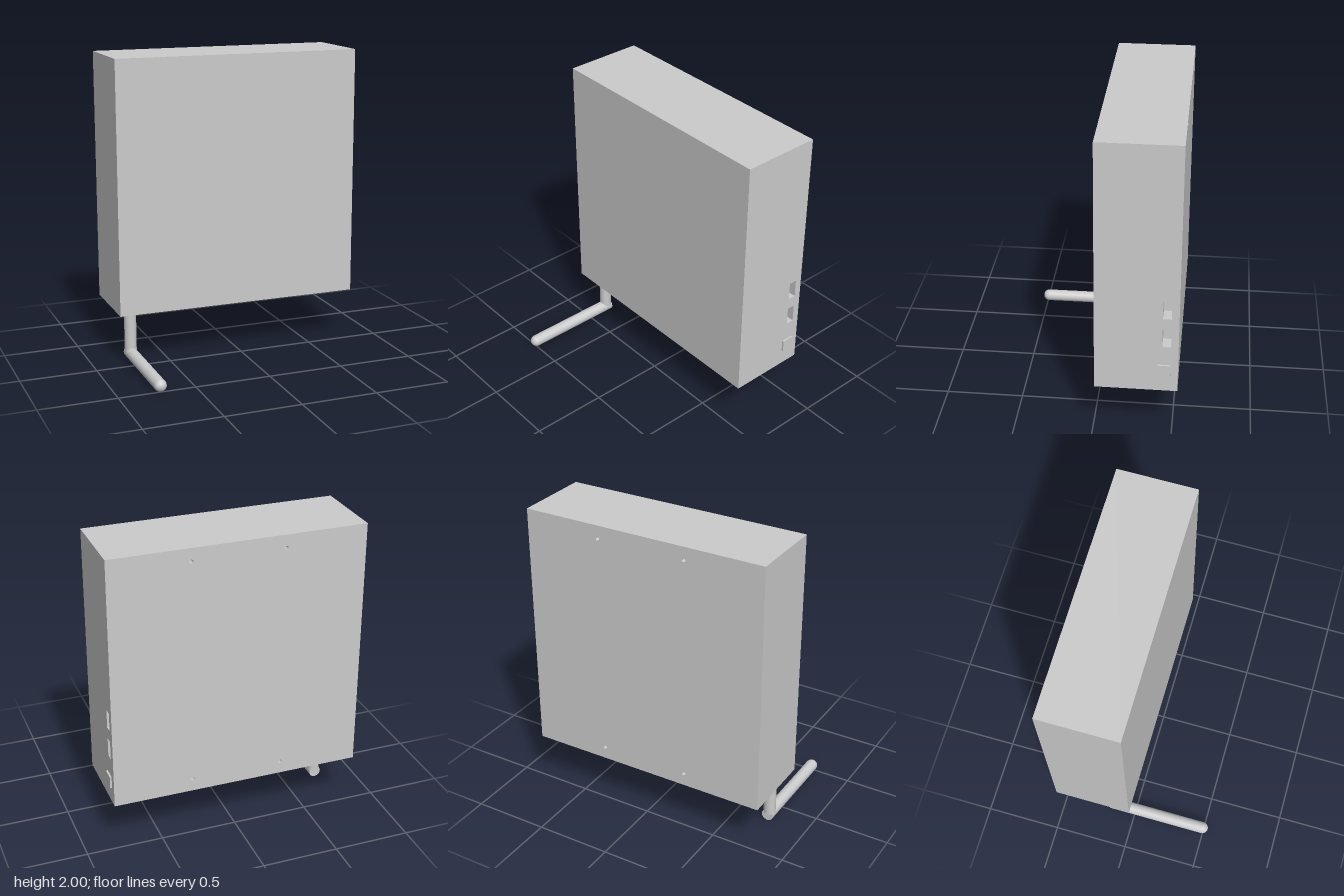
import * as THREE from 'three';
import { mergeGeometries } from 'three/addons/utils/BufferGeometryUtils.js';

const grey = new THREE.MeshStandardMaterial({ color: 0xcccccc });
const X0 = -0.83, X1 = 0.818, Y0 = 0.34, Y1 = 2, Z0 = -0.53, Z1 = -0.012;

function mesh(name, geometry) {
  const m = new THREE.Mesh(geometry, grey);
  m.name = name;
  return m;
}

// Flat rectangle in the XY plane facing +z, with optional cut-outs
function panel(x0, x1, y0, y1, holes = []) {
  const rect = (a, b, c, d) => [[a, c], [b, c], [b, d], [a, d]].map(p => new THREE.Vector2(...p));
  const shape = new THREE.Shape(rect(x0, x1, y0, y1));
  for (const h of holes) {
    const path = new THREE.Path();
    if (h.r) path.absarc(h.x, h.y, h.r, 0, Math.PI * 2);
    else path.setFromPoints(rect(h.x - h.w / 2, h.x + h.w / 2, h.y - h.h / 2, h.y + h.h / 2));
    shape.holes.push(path);
  }
  return new THREE.ShapeGeometry(shape, 8).toNonIndexed();
}

// Inside walls and floor of a cut-out, open towards +z
function pocket({ x, y, w, h, r, depth }) {
  const g = r ? new THREE.CylinderGeometry(r, r, depth, 16).rotateX(Math.PI / 2)
    : new THREE.BoxGeometry(w, h, depth);
  const cap = g.groups[r ? 1 : 4];
  g.setIndex(Array.from(g.index.array).filter((_, i) => i < cap.start || i >= cap.start + cap.count));
  g.scale(-1, 1, 1).translate(x, y, -depth / 2);
  const inner = g.toNonIndexed();
  inner.clearGroups();
  inner.computeVertexNormals();
  return inner;
}

// Panel with its pockets
function cutPanel(x0, x1, y0, y1, holes) {
  return mergeGeometries([panel(x0, x1, y0, y1, holes), ...holes.map(pocket)]);
}

export function createModel() {
  const model = new THREE.Group();
  model.name = 'wallBoxWithLever';

  // Housing: six faces, side slots and rear screw holes
  const slots = [0.72, 0.92].map(y => ({ x: 0.457, y, w: 0.054, h: 0.122, depth: 0.1 }));
  const screws = [];
  for (const x of [-0.3, 0.3]) for (const y of [0.425, 1.915]) screws.push({ x, y, r: 0.0125, depth: 0.05 });

  const housing = new THREE.Group();
  housing.name = 'housing';
  housing.add(
    mesh('housingShell', mergeGeometries([
      panel(X0, X1, Y0, Y1).translate(0, 0, Z1),
      panel(X0, X1, -Z1, -Z0).rotateX(-Math.PI / 2).translate(0, Y1, 0),
      panel(X0, X1, Z0, Z1).rotateX(Math.PI / 2).translate(0, Y0, 0),
      panel(Z0, Z1, Y0, Y1).rotateY(-Math.PI / 2).translate(X0, 0, 0),
    ])),
    mesh('slottedSide', cutPanel(-Z1, -Z0, Y0, Y1, slots).rotateY(Math.PI / 2).translate(X1, 0, 0)),
    mesh('backPanel', cutPanel(-X1, -X0, Y0, Y1, screws).rotateY(Math.PI).translate(0, 0, Z0)),
  );
  model.add(housing);

  // Square push button on the side
  model.add(mesh('sideButton', new THREE.BoxGeometry(0.024, 0.08, 0.084).translate(0.818, 0.49, -0.442)));

  // L-shaped lever: post below the housing, arm forwards, rounded tip
  const r = 0.04, armX = -0.728, backZ = -0.177, tipZ = 0.49;
  const lever = new THREE.Group();
  lever.name = 'lever';
  lever.add(
    mesh('leverPost', new THREE.CylinderGeometry(r, r, 0.31, 32).translate(armX, 0.205, -0.146)),
    mesh('leverArm', new THREE.CylinderGeometry(r, r, tipZ - backZ, 32)
      .rotateX(Math.PI / 2).translate(armX, r, (tipZ + backZ) / 2)),
    mesh('leverTip', new THREE.SphereGeometry(r, 32, 12, 0, Math.PI * 2, 0, Math.PI / 2)
      .rotateX(Math.PI / 2).translate(armX, r, tipZ)),
  );
  model.add(lever);
  return model;
}
